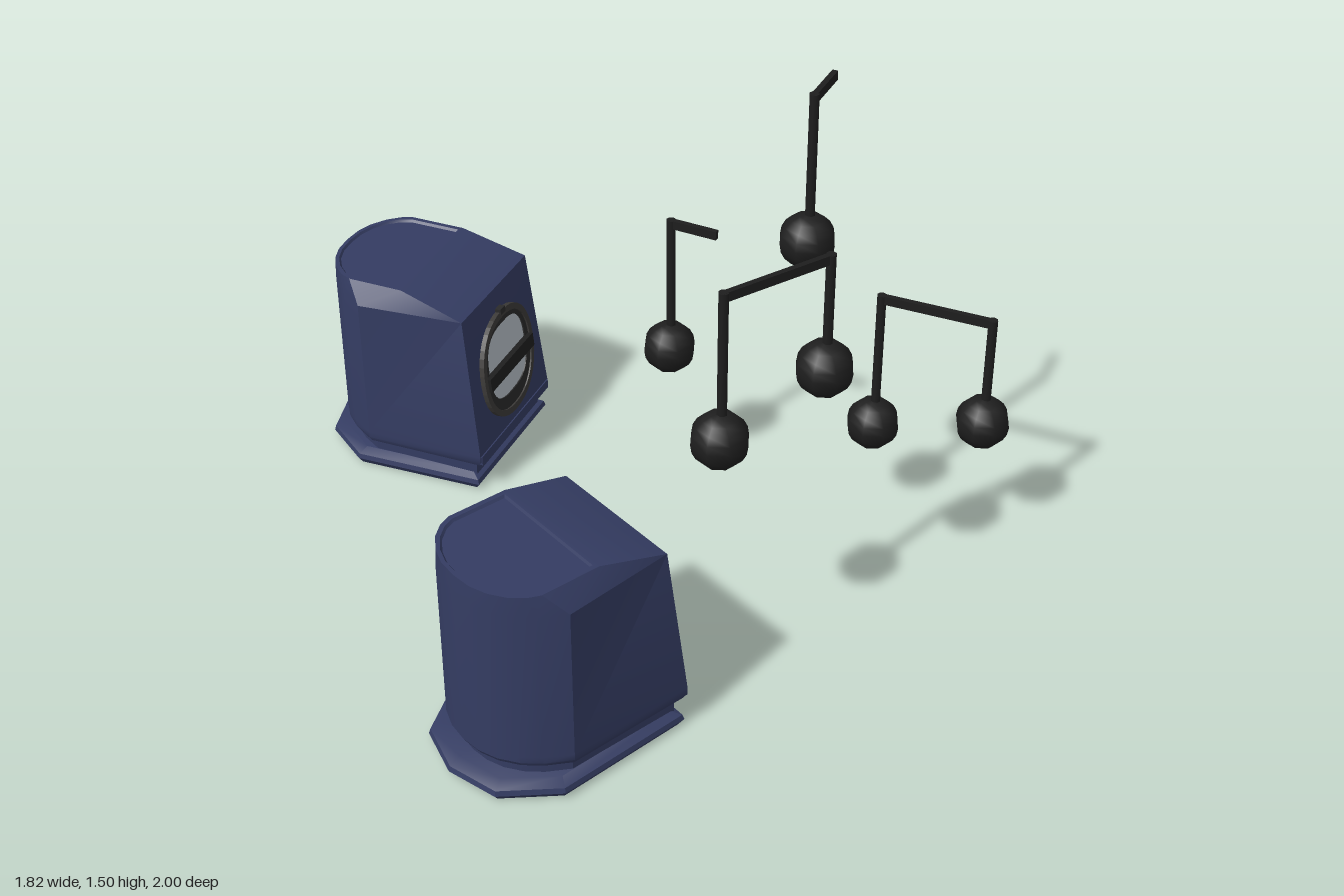
import * as THREE from 'three';
import { toCreasedNormals } from 'three/addons/utils/BufferGeometryUtils.js';

const material = (name, color) => {
  const m = new THREE.MeshStandardMaterial({ color });
  m.name = name;
  return m;
};

export function createModel() {
  const navy = material('navy', 0x343c62);
  const black = material('black', 0x1e1e1e);
  const darkGrey = material('dark grey', 0x2a2a2a);
  const rimGrey = material('rim grey', 0x3c3a38);
  const glass = material('pale glass', 0xb6bec6);

  const root = new THREE.Group();
  root.name = 'boothsAndNotes';

  const add = (parent, name, geo, mat, x = 0, y = 0, z = 0) => {
    const mesh = new THREE.Mesh(geo, mat);
    mesh.name = name;
    mesh.position.set(x, y, z);
    parent.add(mesh);
    return mesh;
  };

  // Skin over stacked mirrored outlines; each layer is [y, half outline from front to back]
  function loft(layers) {
    const rings = layers.map(([y, half]) => [
      ...half.map(([x, z]) => [x, y, z]),
      ...half.slice(0, -1).reverse().map(([x, z]) => [-x, y, z]),
    ]);
    const pos = [];
    const tri = (...pts) => pts.forEach((p) => pos.push(...p));
    const n = rings[0].length;
    for (let r = 0; r < rings.length - 1; r++) {
      for (let i = 0; i < n; i++) {
        const j = (i + 1) % n;
        const [a, b, c, d] = [rings[r][i], rings[r][j], rings[r + 1][j], rings[r + 1][i]];
        tri(a, b, c);
        tri(a, c, d);
      }
    }
    const bottom = rings[0], top = rings[rings.length - 1];
    const midB = [0, bottom[0][1], -0.3], midT = [0, top[0][1], -0.4];
    for (let i = 0; i < n; i++) {
      const j = (i + 1) % n;
      tri(midB, bottom[j], bottom[i]);
      tri(midT, top[i], top[j]);
    }
    const geo = new THREE.BufferGeometry();
    geo.setAttribute('position', new THREE.Float32BufferAttribute(pos, 3));
    return toCreasedNormals(geo, 0.5);
  }
  const inset = (half, k, cz) => half.map(([x, z]) => [x * k, cz + (z - cz) * k]);

  // Rounded-square or oval outline
  function oval(rx, ry, power, cy = 0, Type = THREE.Shape) {
    const pts = [];
    for (let i = 0; i < 40; i++) {
      const a = (i / 40) * Math.PI * 2, c = Math.cos(a), s = Math.sin(a);
      pts.push(new THREE.Vector2(
        rx * Math.sign(c) * Math.abs(c) ** (2 / power),
        cy + ry * Math.sign(s) * Math.abs(s) ** (2 / power)));
    }
    return new Type(pts);
  }
  const plate = (shape, depth, hole) => {
    if (hole) shape.holes.push(hole);
    return new THREE.ExtrudeGeometry(shape, { depth, bevelEnabled: false });
  };

  // Booth: the front faces local +z, origin at the middle of the front edge
  function booth(name, x, z, angle) {
    const g = new THREE.Group();
    g.name = name;
    g.position.set(x, 0, z);
    g.rotation.y = angle;
    root.add(g);

    const foot = [[0.235, -0.01], [0.255, -0.42], [0.15, -0.567], [0, -0.606]];
    add(g, 'baseFlange', loft([
      [0, inset(foot, 0.95, -0.3)], [0.02, foot], [0.035, inset(foot, 0.985, -0.3)],
      [0.05, inset(foot, 0.88, -0.3)],
    ]), navy);

    const back = [[0.245, -0.38], [0.205, -0.45], [0.165, -0.495], [0.115, -0.53], [0.06, -0.55], [0, -0.556]];
    const sill = [[0.235, 0], ...back];
    const eave = [[0.212, -0.05], ...back];
    const roof = [[0.2, -0.255], [0.2, -0.43], [0.185, -0.465], [0.155, -0.5], [0.11, -0.53], [0.06, -0.547], [0, -0.552]];
    add(g, 'neck', loft([[0.04, inset(sill, 0.9, -0.27)], [0.1, inset(sill, 0.9, -0.27)]]), navy);
    add(g, 'body', loft([
      [0.09, inset(sill, 0.97, -0.27)], [0.105, sill], [0.125, sill], [0.585, eave], [0.643, roof],
      [0.643, inset(roof, 0.93, -0.4)], [0.636, inset(roof, 0.9, -0.4)],
    ]), navy);
    add(g, 'frontSill', new THREE.BoxGeometry(0.46, 0.03, 0.02), navy, 0, 0.11, -0.006);

    // Oval window lying on the leaning front face
    const w = new THREE.Group();
    w.name = 'window';
    w.position.set(0, 0.337, -0.024);
    w.rotation.x = -0.107;
    g.add(w);
    add(w, 'outerRim', plate(oval(0.162, 0.176, 2.2), 0.016,
      oval(0.143, 0.155, 2.3, 0, THREE.Path)), rimGrey);
    add(w, 'innerRim', plate(oval(0.145, 0.157, 2.3), 0.011,
      oval(0.12, 0.122, 2.8, 0.012, THREE.Path)), darkGrey);
    add(w, 'pane', plate(oval(0.122, 0.124, 2.8, 0.012), 0.007), glass);
    add(w, 'crossBar', new THREE.BoxGeometry(0.29, 0.044, 0.026), black, 0, -0.008, 0.013);
    add(w, 'topKnob', new THREE.BoxGeometry(0.03, 0.018, 0.02), darkGrey, 0, 0.176, 0.01);
  }
  booth('frontBooth', -0.325, 0.611, THREE.MathUtils.degToRad(110));
  booth('rearBooth', -0.339, -0.513, THREE.MathUtils.degToRad(48));

  // Hanging notes: heads with stems, joined by a thin beam or ending in a flag
  const headGeo = new THREE.SphereGeometry(0.08, 8, 10);
  function note(name, top, heads, end) {
    const g = new THREE.Group();
    g.name = name;
    root.add(g);
    for (const [x, y, z] of heads) {
      add(g, 'head', headGeo, black, x, y, z);
      add(g, 'stem', new THREE.CylinderGeometry(0.014, 0.014, top - y, 8), black, x + 0.005, (top + y) / 2, z);
    }
    const [a, b] = [heads[0], end];
    const dx = b[0] - a[0], dz = b[1] - a[2];
    const beam = add(g, 'beam', new THREE.BoxGeometry(Math.hypot(dx, dz) + 0.015, 0.027, 0.016), black,
      (a[0] + b[0]) / 2 + 0.005, top - 0.013, (a[2] + b[1]) / 2);
    beam.rotation.y = -Math.atan2(dz, dx);
  }
  note('highPair', 1.23, [[-0.105, 0.79, 0.675], [0.215, 0.887, 0.592]], [0.215, 0.592]);
  note('lowPair', 0.755, [[0.59, 0.312, 0.12], [0.83, 0.41, 0.346]], [0.83, 0.346]);
  note('highSingle', 1.495, [[0.306, 1.057, 0.236]], [0.405, 0.132]);
  note('lowSingle', 0.892, [[0.085, 0.455, -0.26]], [0.182, -0.158]);

  return root;
}
